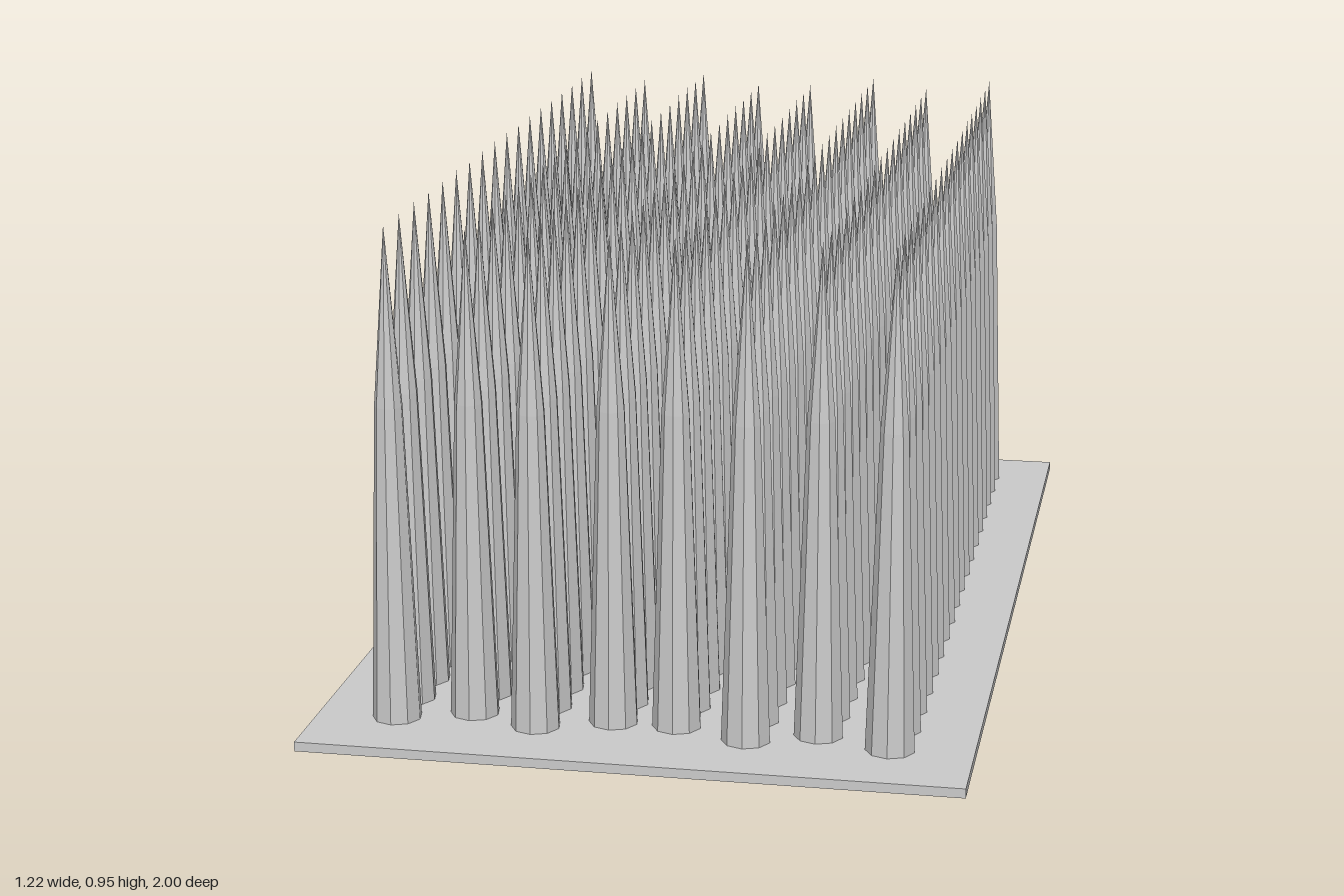
import * as THREE from 'three';

const BASE_HEIGHT = 0.018;
const SPACING = 0.1;

// Faceted spike: gentle taper below, sharper taper to the point
function spikeGeometry(height) {
  const profile = [[0.046, 0], [0.026, 0.6], [0, height]]
    .map(([r, y]) => new THREE.Vector2(r, y));
  return new THREE.LatheGeometry(profile, 9);
}

export function createModel() {
  const model = new THREE.Group();
  const material = new THREE.MeshStandardMaterial({ color: 0xcccccc, flatShading: true });

  // Thin rectangular base
  const base = new THREE.Mesh(new THREE.BoxGeometry(1.224, BASE_HEIGHT, 2), material);
  base.name = 'basePlate';
  base.position.y = BASE_HEIGHT / 2;
  model.add(base);

  // Long rows have 18 spikes, short rows have 17 set half a step between them
  const long = { count: 18, start: -0.857, geometry: spikeGeometry(0.935) };
  const short = { count: 17, start: -0.803, geometry: spikeGeometry(0.924) };
  const rows = [
    [-0.462, long], [-0.325, short], [-0.198, long], [-0.061, short],
    [0.058, short], [0.195, long], [0.322, short], [0.459, long],
  ];

  rows.forEach(([x, row], r) => {
    const group = new THREE.Group();
    group.name = `spikeRow${r + 1}`;
    for (let i = 0; i < row.count; i++) {
      const spike = new THREE.Mesh(row.geometry, material);
      spike.name = 'spike';
      spike.position.set(x, BASE_HEIGHT - 0.001, row.start + i * SPACING);
      group.add(spike);
    }
    model.add(group);
  });

  return model;
}
